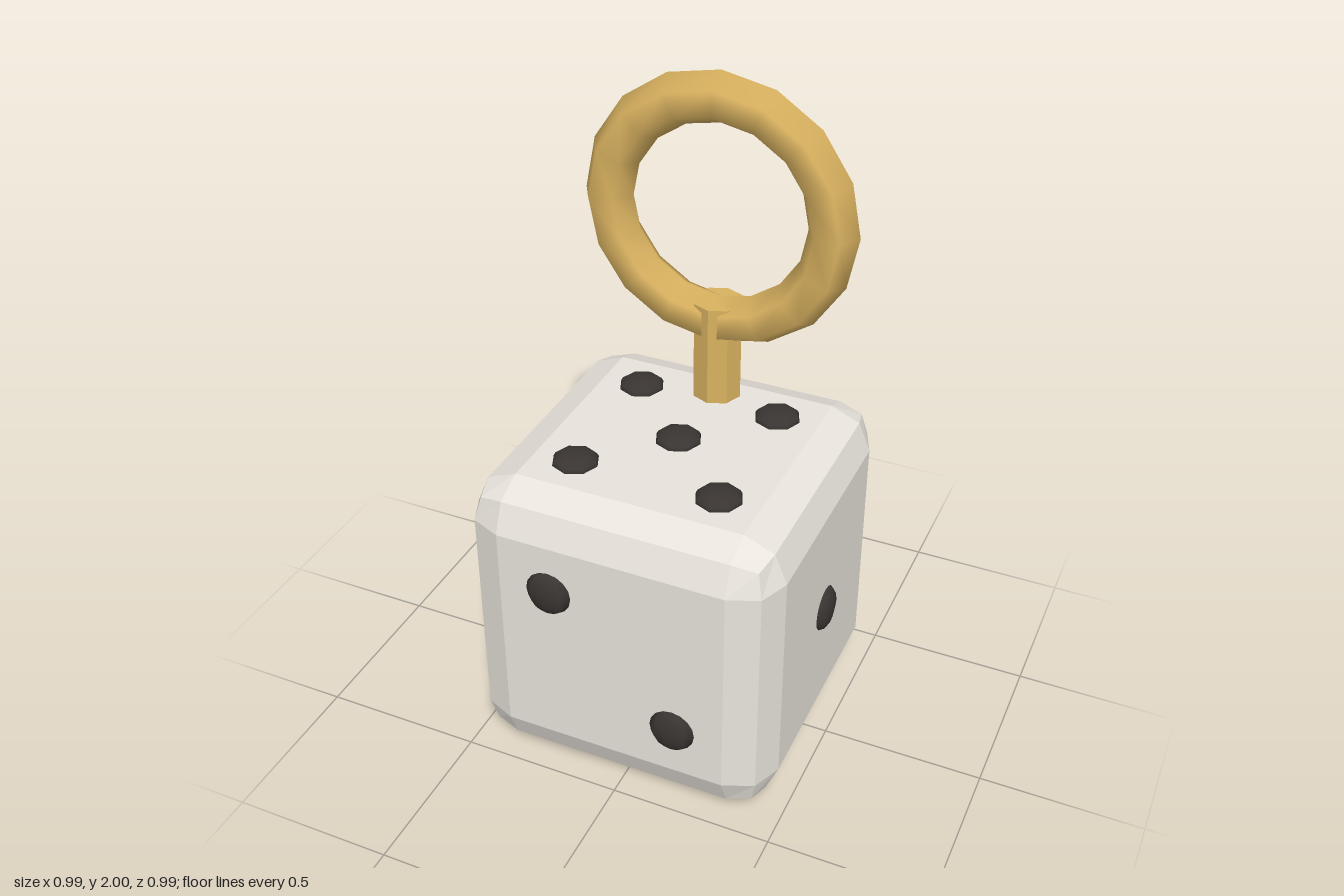
import * as THREE from 'three';
import { RoundedBoxGeometry } from 'three/addons/geometries/RoundedBoxGeometry.js';

export function createModel() {
  const model = new THREE.Group();
  const bodyMat = new THREE.MeshStandardMaterial({ color: 0xe8e4dc, flatShading: true });
  const dotMat = new THREE.MeshStandardMaterial({ color: 0x3a3532 });
  const goldMat = new THREE.MeshStandardMaterial({ color: 0xd9b260 });
  const goldFlatMat = new THREE.MeshStandardMaterial({ color: 0xd9b260, flatShading: true });

  const size = 0.964, half = size / 2;
  const cx = -0.017, cy = half, cz = -0.017;

  const add = (name, geometry, material, x, y, z) => {
    const mesh = new THREE.Mesh(geometry, material);
    mesh.name = name;
    mesh.position.set(x, y, z);
    model.add(mesh);
    return mesh;
  };

  // Cube with rounded edges
  add('cubeBody', new RoundedBoxGeometry(size, size, size, 1, 0.13), bodyMat, cx, cy, cz);

  // Dots: spheres flattened along the normal of their face
  const dotGeo = new THREE.SphereGeometry(0.071, 8, 8);
  const dot = (name, axis, dx, dy, dz) => {
    const mesh = add(name, dotGeo, dotMat, cx + dx, cy + dy, cz + dz);
    mesh.scale[axis] = 0.4;
  };
  const a = 0.225, b = 0.193;
  for (const [x, z] of [[0, 0], [-a, -a], [a, -a], [-a, a], [a, a]]) dot('topDot', 'y', x, half, z);
  for (const s of [-1, 1]) dot('frontDot', 'z', s * b, -s * b, half);
  dot('sideDot', 'x', half, 0, 0);

  // Post and ring near the back of the top
  const ringZ = -0.306;
  add('post', new THREE.CylinderGeometry(0.077, 0.077, 0.385, 8), goldFlatMat, cx, 1.093, ringZ);
  add('ring', new THREE.TorusGeometry(0.35, 0.077, 6, 16), goldMat, cx, 1.573, ringZ);

  return model;
}
